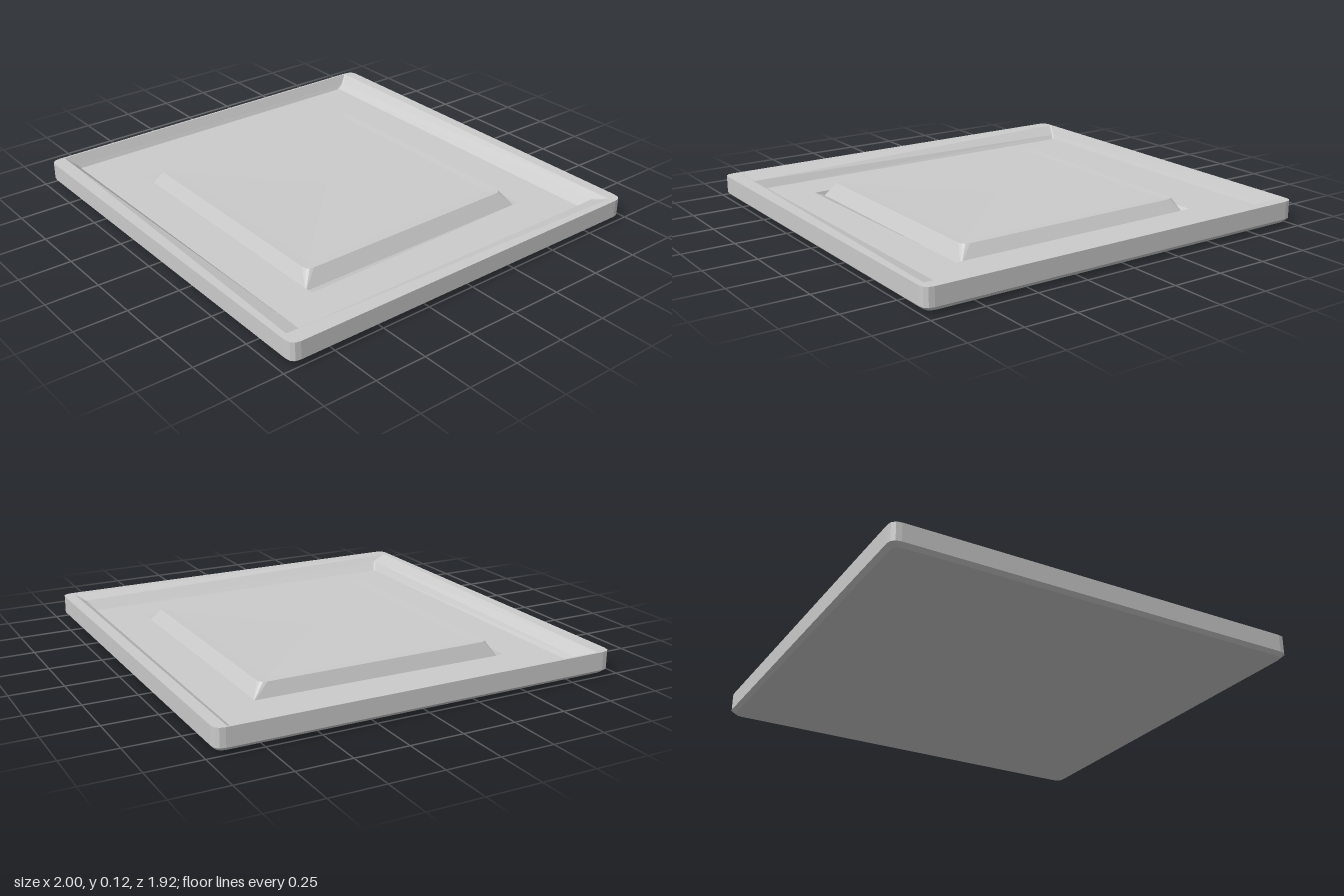
import * as THREE from 'three';

const material = new THREE.MeshStandardMaterial({
  color: 0xcccccc, flatShading: true, side: THREE.DoubleSide,
});

// Four corners: back left, back right, front right, front left
const rect = (x0, x1, z0, z1, y) => [[x0, y, z0], [x1, y, z0], [x1, y, z1], [x0, y, z1]];

// Replace each corner of a four-sided ring by a short rounded run of points
function roundRing({ corners, r }) {
  const points = [];
  const v = corners.map((c) => new THREE.Vector3(...c));
  for (let i = 0; i < 4; i++) {
    const p = v[i];
    const toward = (q) => {
      const d = q.clone().sub(p);
      return d.length() > 0 ? p.clone().add(d.setLength(r)) : p.clone();
    };
    const curve = new THREE.QuadraticBezierCurve3(toward(v[(i + 3) % 4]), p, toward(v[(i + 1) % 4]));
    points.push(...curve.getPoints(3));
  }
  return points;
}

// Skin a sequence of rings, dropping collapsed triangles
function loft(name, rings) {
  const loops = rings.map(roundRing);
  const positions = [];
  const face = (a, b, c) => {
    if (new THREE.Triangle(a, b, c).getArea() < 1e-9) return;
    for (const p of [a, b, c]) positions.push(p.x, p.y, p.z);
  };
  for (let k = 0; k < loops.length - 1; k++) {
    const a = loops[k], b = loops[k + 1];
    for (let i = 0; i < a.length; i++) {
      const j = (i + 1) % a.length;
      face(a[i], b[i], a[j]);
      face(a[j], b[i], b[j]);
    }
  }
  const geometry = new THREE.BufferGeometry();
  geometry.setAttribute('position', new THREE.Float32BufferAttribute(positions, 3));
  geometry.computeVertexNormals();
  const mesh = new THREE.Mesh(geometry, material);
  mesh.name = name;
  return mesh;
}

export function createModel() {
  const group = new THREE.Group();
  group.name = 'tray';

  // Edge of the opening around the raised panel
  const opening = {
    corners: [[-0.655, 0.05, -0.635], [0.65, 0.05, -0.635], [0.675, 0.05, 0.615], [-0.67, 0.05, 0.615]],
    r: 0.003,
  };

  // Underside and outer wall
  group.add(loft('outerShell', [
    { corners: rect(0, 0, 0, 0, 0), r: 0 },
    { corners: rect(-0.94, 0.94, -0.9, 0.9, 0.004), r: 0.03 },
    { corners: rect(-0.98, 0.98, -0.945, 0.945, 0.012), r: 0.04 },
    { corners: rect(-1, 1, -0.96, 0.96, 0.03), r: 0.045 },
    { corners: rect(-1, 1, -0.96, 0.96, 0.115), r: 0.045 },
  ]));

  // Flat rim, sloping inner wall with a kink, and floor
  group.add(loft('rimAndFloor', [
    { corners: rect(-1, 1, -0.96, 0.96, 0.115), r: 0.045 },
    { corners: [[-0.99, 0.115, -0.905], [0.97, 0.115, -0.905], [0.925, 0.115, 0.93], [-0.99, 0.115, 0.89]], r: 0.01 },
    { corners: [[-0.97, 0.07, -0.87], [0.9, 0.095, -0.87], [0.9, 0.09, 0.85], [-0.97, 0.07, 0.84]], r: 0.01 },
    { corners: rect(-0.96, 0.855, -0.835, 0.825, 0.05), r: 0.01 },
    opening,
  ]));

  // Raised centre panel, with narrow grooves along its sides and a shallow dip
  group.add(loft('centrePanel', [
    opening,
    { corners: rect(-0.625, 0.625, -0.63, 0.61, 0.03), r: 0.003 },
    { corners: rect(-0.6, 0.585, -0.585, 0.57, 0.1), r: 0.035 },
    { corners: rect(-0.56, 0.535, -0.54, 0.52, 0.098), r: 0.02 },
    { corners: rect(0, 0, 0, 0, 0.093), r: 0 },
  ]));

  return group;
}
